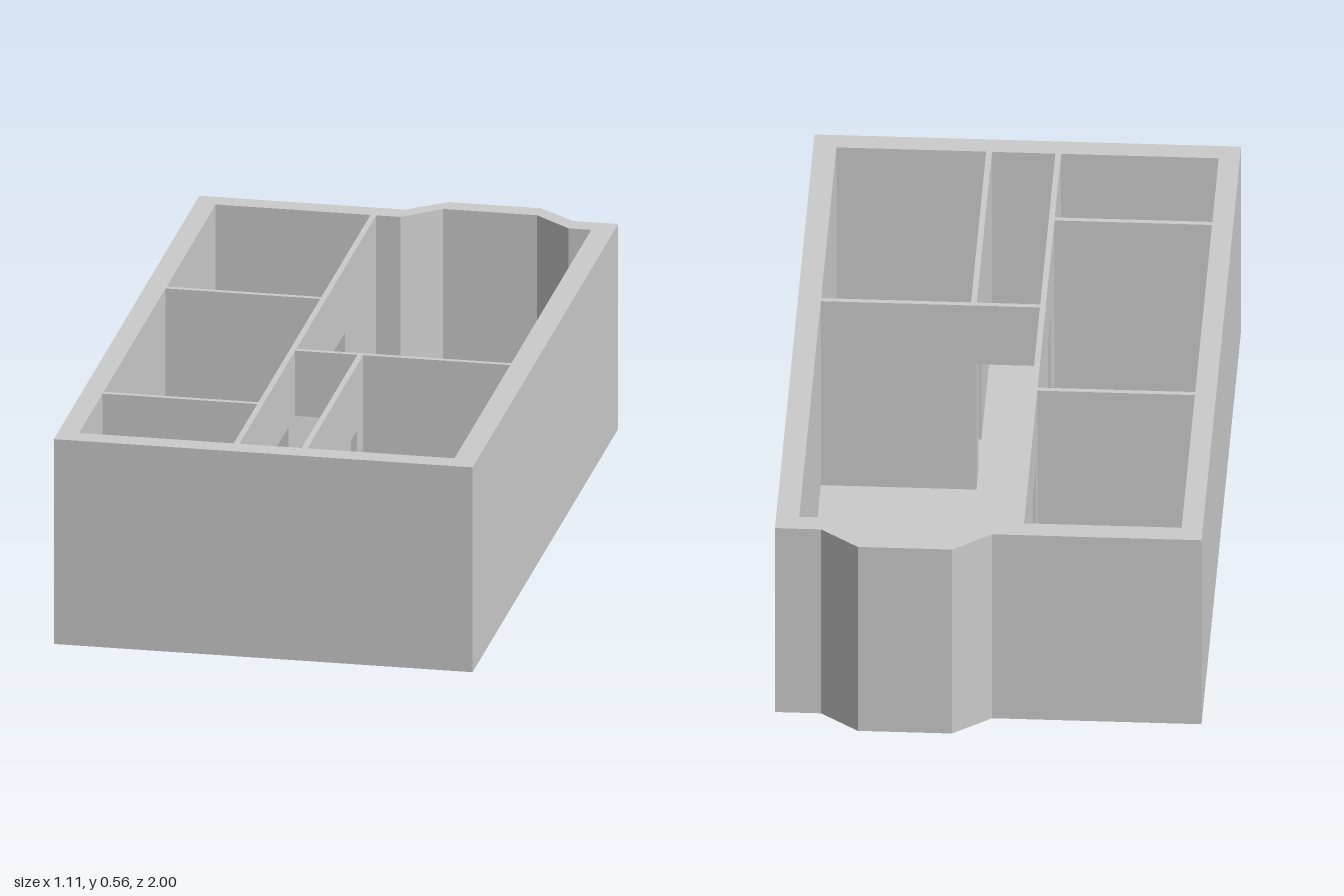
import * as THREE from 'three';

const HEIGHT = 0.565;
const DOOR_TOP = 0.385;

// Main rectangle with a canted bay at the back, as [x, z] corners
const OUTER = [[-0.555, 1], [0.555, 1], [0.555, -0.92], [0.435, -0.92],
  [0.335, -1], [0.09, -1], [-0.01, -0.92], [-0.555, -0.92]];
const INNER = [[-0.5, 0.94], [0.495, 0.94], [0.495, -0.862], [0.435, -0.862],
  [0.335, -0.945], [0.085, -0.945], [-0.01, -0.862], [-0.5, -0.862]];

// Inner walls: footprint x0, x1, z0, z1, running direction, and door spans along it
const WALLS = [
  { name: 'spineWall', rect: [-0.09, -0.075, -0.862, 0.94], along: 'z', doors: [[-0.453, -0.274], [0.295, 0.44]] },
  { name: 'corridorWall', rect: [0.09, 0.105, 0.205, 0.94], along: 'z', doors: [[0.287, 0.434]] },
  { name: 'bayRoomWall', rect: [-0.075, 0.495, 0.19, 0.205], along: 'x', doors: [[-0.075, 0.09]] },
  { name: 'backRoomWall', rect: [-0.5, -0.09, -0.215, -0.2], along: 'x', doors: [] },
  { name: 'frontRoomWall', rect: [-0.5, -0.09, 0.615, 0.63], along: 'x', doors: [] },
];

const corners = ([x0, x1, z0, z1]) => [[x0, z1], [x1, z1], [x1, z0], [x0, z0]];

// Room floors; the last one follows the bay
const ROOMS = [
  corners([-0.5, -0.09, -0.862, -0.215]),
  corners([-0.5, -0.09, -0.2, 0.615]),
  corners([-0.5, -0.09, 0.63, 0.94]),
  corners([-0.075, 0.09, 0.205, 0.94]),
  corners([0.105, 0.495, 0.205, 0.94]),
  [[-0.075, 0.19], [0.495, 0.19], ...INNER.slice(2, 7), [-0.075, -0.862]],
];

const toPoints = (pts) => pts.map(([x, z]) => new THREE.Vector2(x, -z));

export function createModel() {
  const model = new THREE.Group();
  const material = new THREE.MeshStandardMaterial({ color: 0xcccccc });
  const thin = new THREE.MeshStandardMaterial({ color: 0xcccccc, side: THREE.DoubleSide });

  const add = (parent, name, geometry, mat) => {
    const mesh = new THREE.Mesh(geometry, mat);
    mesh.name = name;
    parent.add(mesh);
    return mesh;
  };

  // Thick outer wall
  const ring = new THREE.Shape(toPoints(OUTER));
  ring.holes.push(new THREE.Path(toPoints(INNER)));
  const shell = new THREE.ExtrudeGeometry(ring, { depth: HEIGHT, bevelEnabled: false });
  add(model, 'outerWall', shell.rotateX(-Math.PI / 2), material);

  // Thin floors in the rooms and doorways
  const floors = new THREE.Group();
  floors.name = 'floors';
  model.add(floors);
  const addFloor = (name, pts) => add(floors, name,
    new THREE.ShapeGeometry(new THREE.Shape(toPoints(pts))).rotateX(-Math.PI / 2), thin);
  ROOMS.forEach((pts) => addFloor('roomFloor', pts));

  // Wall piece; full-height pieces are hollow and open underneath
  const addPiece = (parent, name, [x0, x1, z0, z1], y0) => {
    const g = new THREE.BoxGeometry(x1 - x0, HEIGHT - y0, z1 - z0);
    g.translate((x0 + x1) / 2, (HEIGHT + y0) / 2, (z0 + z1) / 2);
    if (y0 === 0) {
      const index = Array.from(g.index.array);
      index.splice(18, 6);
      g.setIndex(index);
      g.clearGroups();
    }
    add(parent, name, g, thin);
  };

  // Inner walls, split into piers and lintels at the doors
  for (const { name, rect, along, doors } of WALLS) {
    const wall = new THREE.Group();
    wall.name = name;
    model.add(wall);
    const [x0, x1, z0, z1] = rect;
    const span = (a, b) => (along === 'x' ? [a, b, z0, z1] : [x0, x1, a, b]);
    let start = along === 'x' ? x0 : z0;
    const end = along === 'x' ? x1 : z1;
    for (const [a, b] of doors) {
      if (a > start) addPiece(wall, 'pier', span(start, a), 0);
      addPiece(wall, 'lintel', span(a, b), DOOR_TOP);
      addFloor('doorwayFloor', corners(span(a, b)));
      start = b;
    }
    addPiece(wall, 'pier', span(start, end), 0);
  }

  return model;
}
